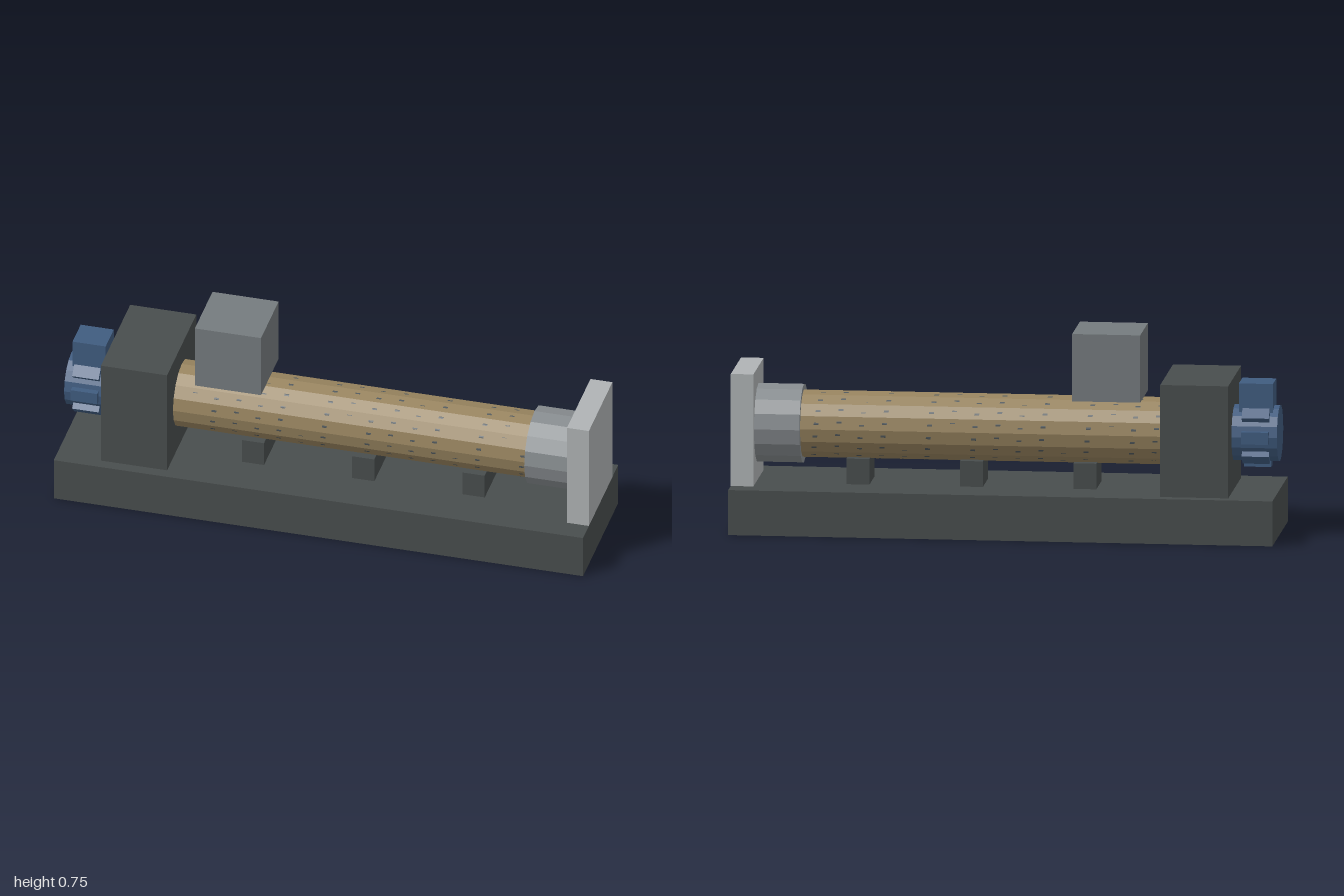
import * as THREE from 'three';

const mat = (name, color, extra = {}) => {
  const m = new THREE.MeshStandardMaterial({ color, flatShading: true, ...extra });
  m.name = name;
  return m;
};

export function createModel() {
  const group = new THREE.Group();
  const dark = mat('dark steel', 0x484d4d);
  const flightMat = mat('flight steel', 0x50585c, { side: THREE.DoubleSide });
  const hopperGrey = mat('hopper grey', 0x757b7e);
  const lightGrey = mat('light grey', 0xafb3b5);
  const collarGrey = mat('collar grey', 0x878c8f);
  const bronze = mat('bronze', 0x98845f);
  const blue = mat('motor blue', 0x405c80);
  const axisY = 0.375;

  const add = (name, geometry, material) => {
    const mesh = new THREE.Mesh(geometry, material);
    mesh.name = name;
    group.add(mesh);
    return mesh;
  };
  // Box from its extents in x and y, and its half depth in z
  const box = (name, x0, x1, y0, y1, halfZ, material) =>
    add(name, new THREE.BoxGeometry(x1 - x0, y1 - y0, halfZ * 2), material)
      .position.set((x0 + x1) / 2, (y0 + y1) / 2, 0);
  // Cylinder lying along x on the machine axis
  const drum = (name, x0, x1, r, material) =>
    add(name, new THREE.CylinderGeometry(r, r, x1 - x0, 16).rotateZ(Math.PI / 2), material)
      .position.set((x0 + x1) / 2, axisY, 0);

  // Base, gearbox, feed hopper and end plate
  box('base', -1, 1, 0, 0.167, 0.25, dark);
  box('gearbox', -0.833, -0.583, 0.167, 0.583, 0.208, dark);
  box('hopper', -0.5, -0.25, 0.5, 0.75, 0.125, hopperGrey);
  box('endPlate', 0.917, 1, 0.167, 0.583, 0.167, lightGrey);

  // Barrel with its collar and supports
  drum('barrel', -0.583, 0.75, 0.125, bronze);
  drum('collar', 0.75, 0.917, 0.146, collarGrey);
  for (const x of [-0.292, 0.125, 0.542]) {
    box('support', x - 0.042, x + 0.042, 0.167, 0.262, 0.083, dark);
  }

  // Screw flight: a helical ribbon just breaking the flat sides of the barrel
  const pitch = 1 / 12, r = 0.123, steps = 16 * 32, half = 0.009;
  const positions = [], index = [];
  for (let i = 0; i <= steps; i++) {
    const x = -0.57 + (1.31 * i) / steps;
    const a = (-2 * Math.PI * (x - 0.006)) / pitch;
    for (const side of [-half, half]) {
      positions.push(x + side, axisY + r * Math.cos(a), r * Math.sin(a));
    }
    if (i < steps) {
      const k = i * 2;
      index.push(k, k + 1, k + 2, k + 1, k + 3, k + 2);
    }
  }
  const flight = new THREE.BufferGeometry();
  flight.setAttribute('position', new THREE.Float32BufferAttribute(positions, 3));
  flight.setIndex(index);
  flight.computeVertexNormals();
  add('screwFlight', flight, flightMat);

  // Motor with cooling fins and a terminal box
  drum('motor', -1, -0.833, 0.104, blue);
  for (let i = 0; i < 8; i++) {
    const fin = new THREE.BoxGeometry(0.1, 0.03, 0.045);
    fin.translate(0, 0.108, 0).rotateX((i * Math.PI) / 4);
    add('motorFin', fin, blue).position.set(-0.92, axisY, 0);
  }
  box('terminalBox', -0.98, -0.855, 0.46, 0.567, 0.058, blue);

  return group;
}
